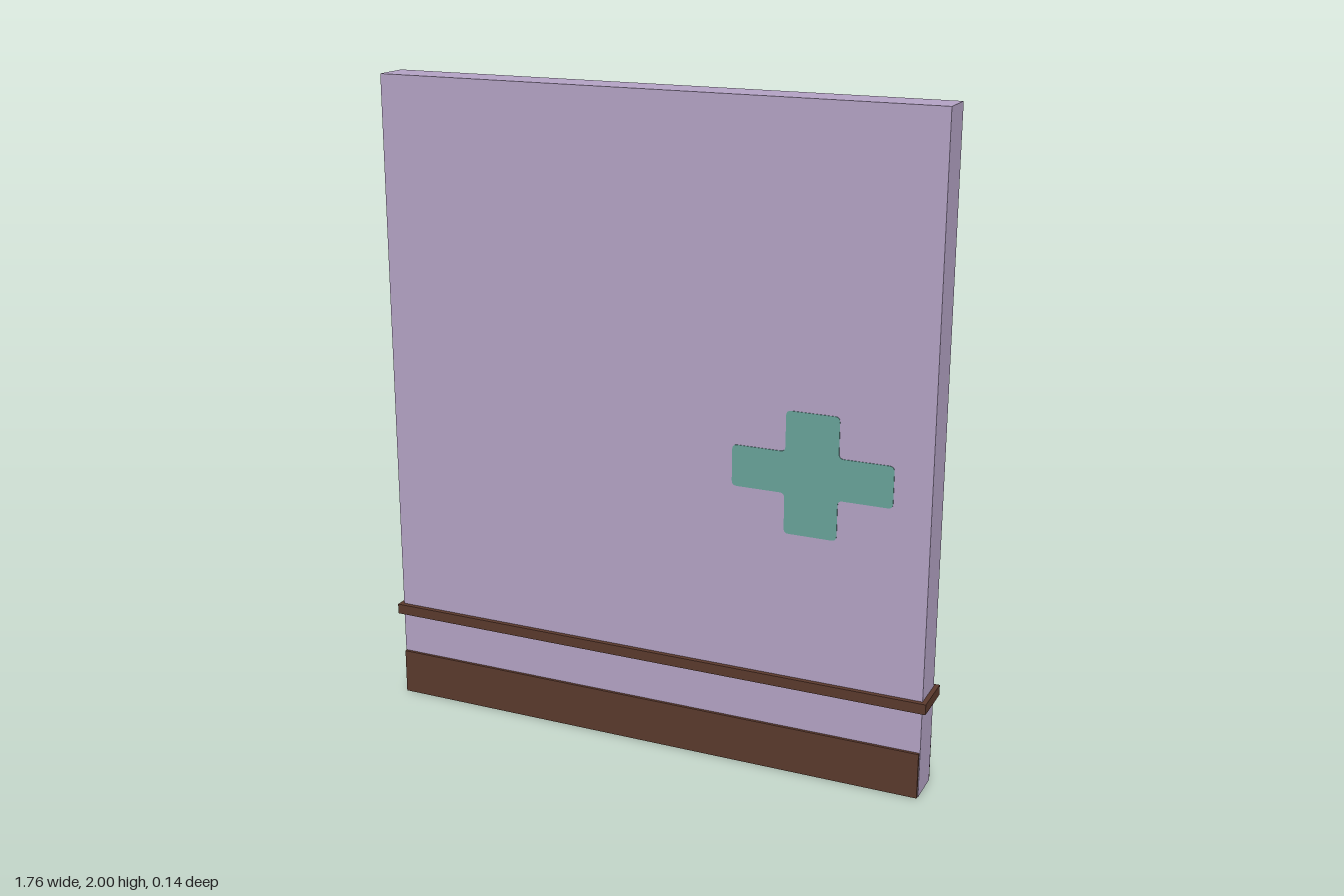
import * as THREE from 'three';

const paint = (name, color) => {
  const m = new THREE.MeshStandardMaterial({ color });
  m.name = name;
  return m;
};

export function createModel() {
  const group = new THREE.Group();
  const lilac = paint('lilac wall', 0xb3a2c4);
  const brown = paint('brown wood', 0x5a392c);
  const green = paint('green cross', 0x68a299);

  const add = (name, geometry, material, x, y, z) => {
    const mesh = new THREE.Mesh(geometry, material);
    mesh.name = name;
    mesh.position.set(x, y, z);
    group.add(mesh);
  };
  const box = (name, w, h, d, material, y, z = 0) =>
    add(name, new THREE.BoxGeometry(w, h, d), material, 0, y, z);

  // Wall slab
  box('wall', 1.732, 2, 0.114, lilac, 1);

  // Skirting boards on both faces
  for (const [name, s] of [['frontSkirting', 1], ['backSkirting', -1]])
    box(name, 1.728, 0.142, 0.009, brown, 0.071, s * 0.0615);

  // Rail running all the way round
  box('rail', 1.76, 0.032, 0.144, brown, 0.29);

  // Flat cross with softened corners, drawn from one quarter
  const a = 0.08, b = 0.0625, X = 0.2425, Y = 0.185, r = 0.015;
  const corners = [];
  for (const [sx, sy] of [[1, 1], [-1, 1], [-1, -1], [1, -1]]) {
    const quarter = [[X, b], [a, b], [a, Y]].map(([x, y]) => new THREE.Vector2(sx * x, sy * y));
    corners.push(...(sx * sy > 0 ? quarter : quarter.reverse()));
  }
  const shape = new THREE.Shape();
  corners.forEach((p, i) => {
    const toward = (q) => p.clone().add(q.clone().sub(p).setLength(r));
    const start = toward(corners[(i + 11) % 12]);
    const end = toward(corners[(i + 1) % 12]);
    if (i === 0) shape.moveTo(start.x, start.y);
    else shape.lineTo(start.x, start.y);
    shape.quadraticCurveTo(p.x, p.y, end.x, end.y);
  });
  shape.closePath();
  const cross = new THREE.ExtrudeGeometry(shape, { depth: 0.003, bevelEnabled: false, curveSegments: 4 });
  add('cross', cross, green, 0.512, 0.94, 0.056);

  return group;
}
